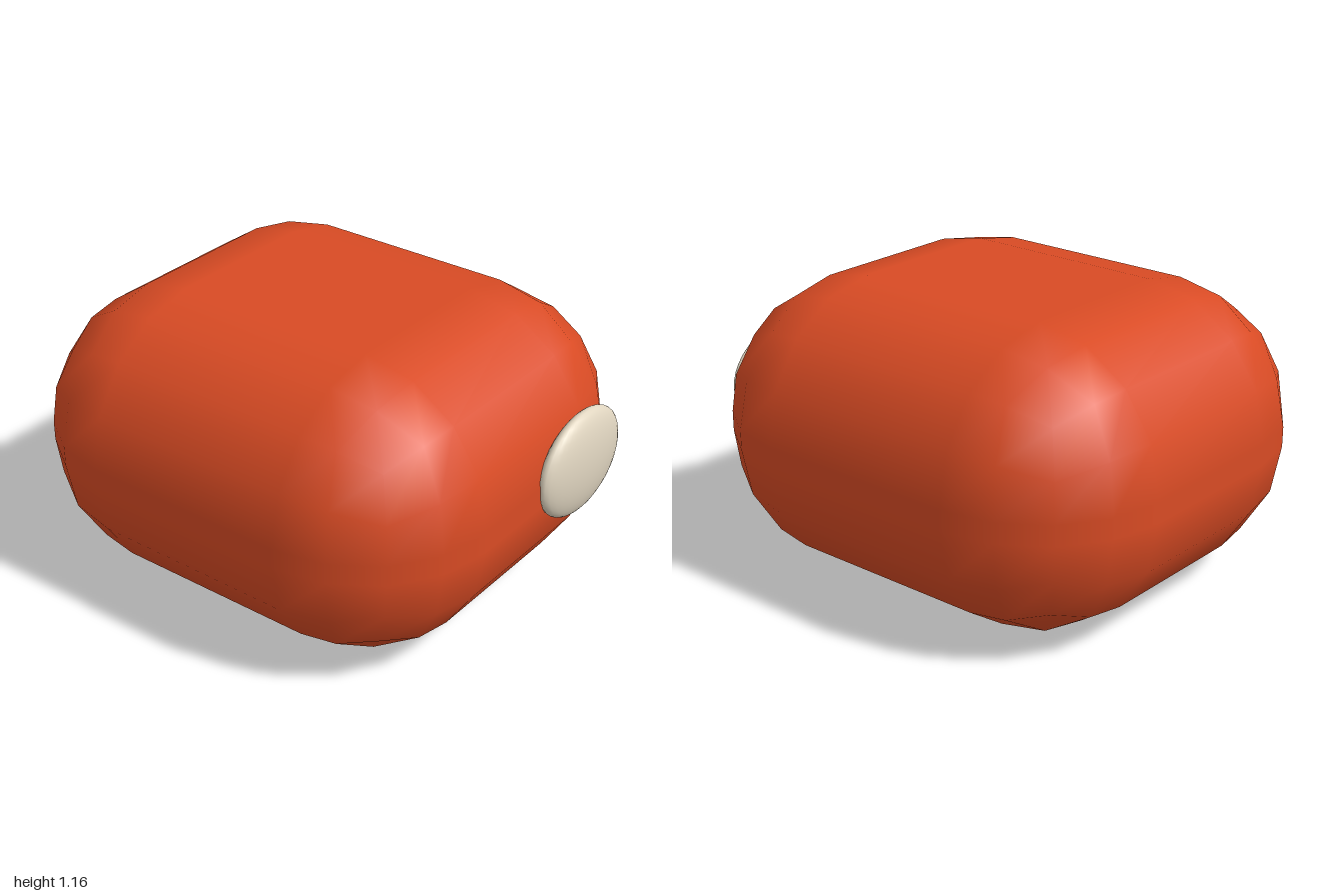
import * as THREE from 'three';

// Rounded block: a box grid whose corners are bent onto a sphere in equal angle steps
function roundedBlock(width, height, depth, radius, steps) {
  const n = steps + 1; // bevel steps plus one flat strip per side
  const geo = new THREE.BoxGeometry(2, 2, 2, n, n, n);
  const pos = geo.attributes.position;
  const nor = geo.attributes.normal;
  const core = new THREE.Vector3(width, height, depth).multiplyScalar(0.5).subScalar(radius);
  const half = steps / 2;
  const bend = (c) => {
    const i = Math.round((c + 1) / 2 * n);
    const k = i <= half ? i - half : i - half - 1;
    return Math.tan(k / half * Math.PI / 4);
  };
  const p = new THREE.Vector3();
  const d = new THREE.Vector3();
  for (let i = 0; i < pos.count; i++) {
    p.fromBufferAttribute(pos, i);
    d.set(bend(p.x), bend(p.y), bend(p.z)).normalize();
    nor.setXYZ(i, d.x, d.y, d.z);
    pos.setXYZ(i,
      Math.sign(p.x) * core.x + d.x * radius,
      Math.sign(p.y) * core.y + d.y * radius,
      Math.sign(p.z) * core.z + d.z * radius);
  }
  return geo;
}

export function createModel() {
  const orangeRed = new THREE.MeshStandardMaterial({ color: 0xd94b24 });
  orangeRed.name = 'orange red';
  const cream = new THREE.MeshStandardMaterial({ color: 0xe0d5c0 });
  cream.name = 'cream';

  const model = new THREE.Group();
  model.name = 'roundedBlockWithSpot';

  // Body
  const body = new THREE.Mesh(roundedBlock(1.74, 1.16, 1.93, 0.54, 4), orangeRed);
  body.name = 'body';
  body.position.set(0, 0.58, -0.035);
  model.add(body);

  // Flattened oval spot set into the front
  const spot = new THREE.Mesh(new THREE.SphereGeometry(1, 32, 20), cream);
  spot.name = 'frontSpot';
  spot.scale.set(0.267, 0.213, 0.065);
  spot.position.set(0.287, 0.622, 0.935);
  model.add(spot);

  return model;
}
